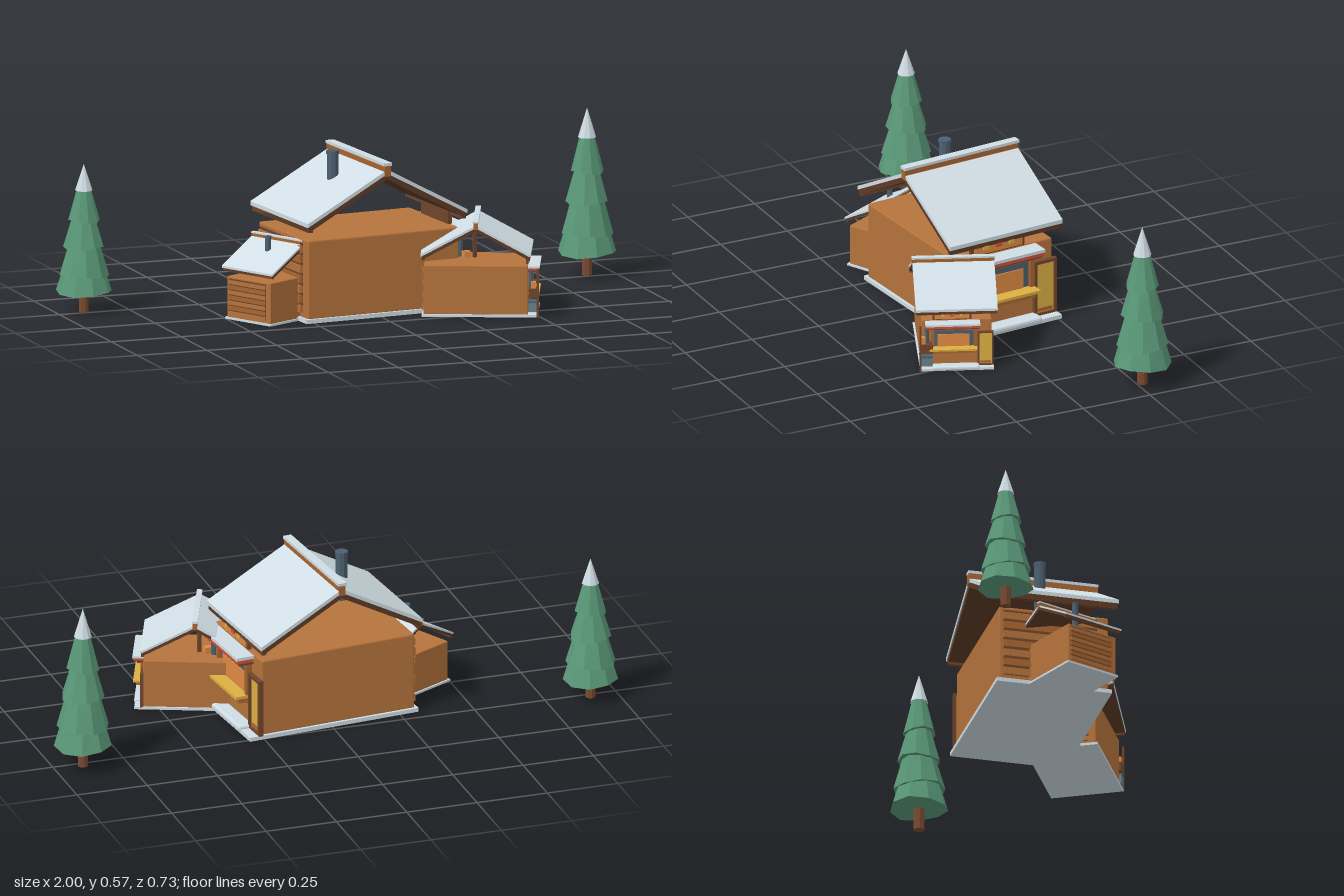
import * as THREE from 'three';
import { RoundedBoxGeometry } from 'three/addons/geometries/RoundedBoxGeometry.js';

const mat = (color) => new THREE.MeshStandardMaterial({ color, flatShading: true, side: THREE.DoubleSide });
const M = {
  wall: mat(0xb5733c), frame: mat(0xa9652f), dark: mat(0x70452c), under: mat(0x5c3a26),
  snow: mat(0xd0dde4), steel: mat(0x4c6070), crate: mat(0x66808c), glow: mat(0xe08a42),
  yellow: mat(0xdcae42), red: mat(0xd0503a), leaf: mat(0x5a9878), trunk: mat(0x7a4a30),
};

function add(parent, name, geo, material, x = 0, y = 0, z = 0) {
  const mesh = new THREE.Mesh(geo, material);
  mesh.name = name;
  mesh.position.set(x, y, z);
  parent.add(mesh);
  return mesh;
}

// Box given by its ranges along each axis
function box(parent, name, material, [x0, x1], [y0, y1], [z0, z1], radius = 0) {
  const size = [x1 - x0, y1 - y0, z1 - z0];
  const geo = radius ? new RoundedBoxGeometry(...size, 2, radius) : new THREE.BoxGeometry(...size);
  return add(parent, name, geo, material, (x0 + x1) / 2, (y0 + y1) / 2, (z0 + z1) / 2);
}

// Inverted V running along z
function chevron(parent, name, material, apex, thickness, halfWidth, depth) {
  const eave = apex - halfWidth * 0.54;
  const s = new THREE.Shape([
    [0, apex], [-halfWidth, eave], [-halfWidth, eave - thickness],
    [0, apex - thickness], [halfWidth, eave - thickness], [halfWidth, eave],
  ].map(([x, y]) => new THREE.Vector2(x, y)));
  const geo = new THREE.ExtrudeGeometry(s, { depth, bevelEnabled: false });
  add(parent, name, geo, material, 0, 0, -depth / 2);
}

// Rectangular frame facing +x
function openFrame(parent, name, material, x, [y0, y1], [z0, z1], t, depth) {
  const shape = new THREE.Shape();
  shape.moveTo(z0, y0).lineTo(z1, y0).lineTo(z1, y1).lineTo(z0, y1).closePath();
  const hole = new THREE.Path();
  hole.moveTo(z0 + t, y0 + t).lineTo(z0 + t, y1 - t).lineTo(z1 - t, y1 - t).lineTo(z1 - t, y0 + t).closePath();
  shape.holes.push(hole);
  const geo = new THREE.ExtrudeGeometry(shape, { depth, bevelEnabled: false });
  geo.rotateY(-Math.PI / 2); // shape x becomes z, extrusion runs along -x
  add(parent, name, geo, material, x + depth, 0, 0);
}

// Counter side of a cabin: window, shelf, awning, sign, door and clutter
function serviceSide(cabin) {
  const g = new THREE.Group();
  g.name = 'serviceSide';
  cabin.add(g);
  openFrame(g, 'windowFrame', M.frame, 0.28, [0.1, 0.242], [-0.108, 0.138], 0.016, 0.022);
  box(g, 'windowSurround', M.steel, [0.28, 0.29], [0.12, 0.226], [-0.092, 0.122]);
  box(g, 'windowPane', M.glow, [0.28, 0.294], [0.125, 0.2], [-0.07, 0.105]);
  box(g, 'shelfSupport', M.frame, [0.28, 0.325], [0.1, 0.12], [-0.1, 0.135]);
  box(g, 'counter', M.yellow, [0.28, 0.342], [0.119, 0.129], [-0.11, 0.15]);
  box(g, 'awningBoard', M.dark, [0.28, 0.335], [0.245, 0.253], [-0.12, 0.17]);
  box(g, 'awning', M.red, [0.28, 0.342], [0.253, 0.266], [-0.122, 0.17]);
  box(g, 'awningSnow', M.snow, [0.28, 0.345], [0.266, 0.277], [-0.125, 0.172]);
  // Sign with three lamps
  box(g, 'signBack', M.dark, [0.27, 0.284], [0.282, 0.333], [-0.08, 0.13]);
  box(g, 'signBoard', M.glow, [0.275, 0.289], [0.288, 0.33], [-0.07, 0.12]);
  [M.yellow, M.red, M.yellow].forEach((m, i) =>
    box(g, 'signLamp', m, [0.285, 0.294], [0.304, 0.317], [-0.035 + i * 0.05, -0.014 + i * 0.05]));
  // Door
  openFrame(g, 'doorFrame', M.dark, 0.28, [0.012, 0.212], [-0.2, -0.112], 0.01, 0.018);
  box(g, 'door', M.yellow, [0.28, 0.29], [0.016, 0.203], [-0.19, -0.122]);
  box(g, 'doorKick', M.frame, [0.28, 0.293], [0.026, 0.038], [-0.185, -0.127]);
  box(g, 'snowDrift', M.snow, [0.28, 0.336], [0.002, 0.026], [-0.122, 0.13], 0.009);
  // Pipe, crates and post by the front corner
  add(g, 'pipe', new THREE.CylinderGeometry(0.011, 0.011, 0.15, 8), M.steel, 0.298, 0.185, 0.162);
  box(g, 'crateShelf', M.dark, [0.285, 0.335], [0.105, 0.158], [0.13, 0.2]);
  box(g, 'smallCrate', M.glow, [0.3, 0.325], [0.158, 0.196], [0.172, 0.195]);
  box(g, 'coolBox', M.crate, [0.285, 0.335], [0.03, 0.08], [0.135, 0.2]);
  box(g, 'coolBoxLid', M.steel, [0.282, 0.338], [0.08, 0.09], [0.132, 0.203]);
  box(g, 'post', M.dark, [0.33, 0.342], [0, 0.268], [0.194, 0.204]);
}

function cabin(name, x, z, angle, scale, { service = true, chimney = true } = {}) {
  const g = new THREE.Group();
  g.name = name;
  g.position.set(x, 0, z);
  g.rotation.y = angle;
  g.scale.setScalar(scale);
  box(g, 'snowBase', M.snow, [-0.292, service ? 0.33 : 0.29], [0, 0.014], [-0.2, 0.2]);
  box(g, 'walls', M.wall, [-0.282, 0.282], [0.01, 0.282], [-0.19, 0.19], 0.006);
  // Horizontal planks on the left wall
  for (let i = 0; i < 7; i++) {
    const y = 0.03 + i * 0.034;
    box(g, 'plank', i % 2 ? M.frame : M.wall, [-0.292, -0.28], [y, y + 0.025], [-0.175, 0.15]);
    box(g, 'plankGap', M.dark, [-0.286, -0.28], [y + 0.025, y + 0.034], [-0.175, 0.15]);
  }
  // Open roof with a capped ridge
  chevron(g, 'roofBoards', M.under, 0.494, 0.02, 0.293, 0.438);
  chevron(g, 'roofSnow', M.snow, 0.508, 0.014, 0.298, 0.444);
  for (const s of [-1, 1]) box(g, 'eaveBeam', M.dark, [s * 0.285 - 0.008, s * 0.285 + 0.008], [0.315, 0.332], [-0.217, 0.217]);
  box(g, 'ridgeBeam', M.frame, [-0.012, 0.012], [0.485, 0.521], [-0.224, 0.224]);
  box(g, 'ridgeSnow', M.snow, [-0.015, 0.015], [0.521, 0.531], [-0.226, 0.226]);
  if (chimney) {
    add(g, 'chimney', new THREE.CylinderGeometry(0.02, 0.02, 0.172, 10), M.steel, -0.098, 0.456, 0);
    add(g, 'chimneyCap', new THREE.CylinderGeometry(0.022, 0.022, 0.012, 10), M.steel, -0.098, 0.538, 0);
  }
  if (service) serviceSide(g);
  return g;
}

function tree(name, x, z, width, height) {
  const g = new THREE.Group();
  g.name = name;
  g.position.set(x, 0, z);
  g.scale.set(width, height, width);
  add(g, 'trunk', new THREE.CylinderGeometry(0.018, 0.018, 0.09, 8), M.trunk, 0, 0.045, 0);
  // Overlapping skirts: bottom height, top height, bottom radius, top radius
  const tiers = [[0.078, 0.165, 0.099, 0.074], [0.147, 0.265, 0.089, 0.056],
    [0.253, 0.365, 0.073, 0.042], [0.357, 0.476, 0.056, 0.026]];
  tiers.forEach(([y0, y1, r0, r1], t) => {
    const geo = new THREE.CylinderGeometry(r1, r0, y1 - y0, 9);
    const p = geo.attributes.position;
    // Uneven hem
    for (let i = 0; i < p.count; i++) {
      if (p.getY(i) > 0) continue;
      const a = Math.atan2(p.getZ(i), p.getX(i));
      p.setY(i, p.getY(i) + 0.006 * Math.sin(2 * a + t * 2));
    }
    add(g, 'branches', geo, M.leaf, 0, (y0 + y1) / 2, 0).rotation.y = t * 0.45;
  });
  add(g, 'snowTip', new THREE.ConeGeometry(0.031, 0.102, 9), M.snow, 0, 0.524, 0);
  return g;
}

export function createModel() {
  const model = new THREE.Group();
  model.name = 'snowyCabins';
  model.add(
    cabin('mainCabin', -0.007, -0.032, 0.095, 1),
    cabin('leftCabin', 0.343, 0.165, -0.39, 0.622, { chimney: false }),
    cabin('rightShed', -0.32, 0.032, 0.474, 0.52, { service: false }),
    tree('leftTree', 0.9, -0.27, 1, 1),
    tree('rightTree', -0.905, -0.27, 0.96, 0.88),
  );
  return model;
}
